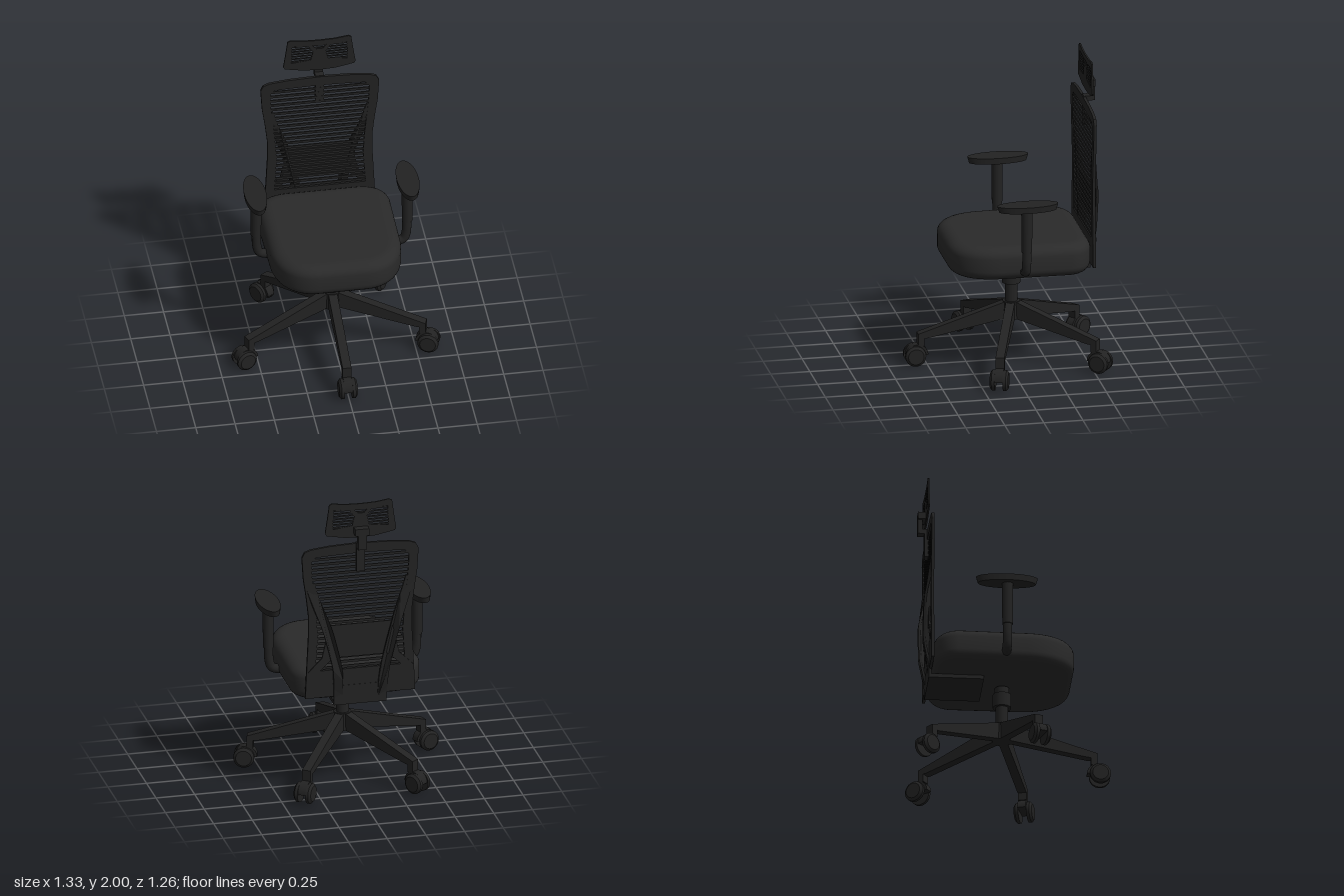
import * as THREE from 'three';
import { toCreasedNormals } from 'three/addons/utils/BufferGeometryUtils.js';

const dark = new THREE.MeshStandardMaterial({ color: 0x222222, side: THREE.DoubleSide });
const fabric = new THREE.MeshStandardMaterial({ color: 0x2a2a2a });

function add(parent, name, geo, x = 0, y = 0, z = 0, mat = dark) {
  const m = new THREE.Mesh(geo, mat);
  m.name = name;
  m.position.set(x, y, z);
  parent.add(m);
  return m;
}
const box = (w, h, d) => new THREE.BoxGeometry(w, h, d);
const cyl = (rt, rb, h, n = 24) => new THREE.CylinderGeometry(rt, rb, h, n);
const vecs = (pts) => pts.map(([x, y]) => new THREE.Vector2(x, y));
// Closes a half outline (x >= 0) with its mirror image
const mirrored = (pts) => [...pts, ...pts.filter(([x]) => x > 0).reverse().map(([x, y]) => [-x, y])];

function plate(outline, holes, depth) {
  const s = new THREE.Shape(vecs(outline));
  for (const h of holes) s.holes.push(new THREE.Path(vecs(h)));
  return new THREE.ExtrudeGeometry(s, { depth, bevelEnabled: false });
}
// Flat strip of given width following a smooth curve in the xy plane
function strip(pts, width, depth) {
  const curve = new THREE.SplineCurve(vecs(pts));
  const left = [], right = [];
  for (let i = 0; i <= 20; i++) {
    const p = curve.getPoint(i / 20), t = curve.getTangent(i / 20);
    left.push([p.x - t.y * width / 2, p.y + t.x * width / 2]);
    right.unshift([p.x + t.y * width / 2, p.y - t.x * width / 2]);
  }
  return plate([...left, ...right], [], depth);
}

function makeSeat(root) {
  // Rounded back corners, broader curve at the front; the bevel adds 0.08
  const s = new THREE.Shape();
  s.moveTo(-0.15, -0.32);
  s.lineTo(0.15, -0.32);
  s.bezierCurveTo(0.27, -0.32, 0.33, -0.22, 0.335, -0.1);
  s.lineTo(0.34, 0.34);
  s.quadraticCurveTo(0.33, 0.41, 0.23, 0.415);
  s.lineTo(-0.23, 0.415);
  s.quadraticCurveTo(-0.33, 0.41, -0.34, 0.34);
  s.lineTo(-0.335, -0.1);
  s.bezierCurveTo(-0.33, -0.22, -0.27, -0.32, -0.15, -0.32);
  const g = new THREE.ExtrudeGeometry(s, {
    depth: 0.085, bevelThickness: 0.065, bevelSize: 0.08, bevelSegments: 6, curveSegments: 10,
  });
  g.rotateX(-Math.PI / 2);
  add(root, 'seat', toCreasedNormals(g, 0.8), 0, 0.72, 0, fabric);
  add(root, 'seatMechanismPlate', box(0.34, 0.025, 0.335), 0, 0.643, -0.335);
}

function makeBack(root) {
  const back = new THREE.Group();
  back.name = 'backrest';
  root.add(back);
  const outer = mirrored([[0, 1.715], [0.2, 1.708], [0.32, 1.695], [0.36, 1.68], [0.377, 1.645], [0.368, 1.5],
    [0.35, 1.38], [0.335, 1.25], [0.335, 1.1], [0.345, 0.9], [0.355, 0.69], [0, 0.69]]);
  const inner = mirrored([[0, 1.65], [0.2, 1.645], [0.29, 1.64], [0.315, 1.61], [0.312, 1.52], [0.3, 1.4],
    [0.285, 1.25], [0.275, 1.1], [0.29, 0.87], [0, 0.87]]);
  add(back, 'backFrame', plate(outer, [inner], 0.018), 0, 0, -0.513);
  for (let y = 0.885; y < 1.64; y += 0.0335) add(back, 'backSlat', box(0.64, 0.016, 0.008), 0, y, -0.503);
  add(back, 'lumbarPanel', plate([[-0.25, 0.955], [0.25, 0.955], [0.2, 1.175], [-0.2, 1.175]], [], 0.01), 0, 0, -0.522);
  add(back, 'backMount', box(0.34, 0.13, 0.016), 0, 0.695, -0.507);

  // Struts bulge backwards between the mount and the side frame
  const bulge = (y) => 0.04 * THREE.MathUtils.smoothstep(y, 0.66, 0.92) * (1 - THREE.MathUtils.smoothstep(y, 1.12, 1.36));
  for (const s of [-1, 1]) {
    const g = strip([[0.14, 0.65], [0.15, 0.85], [0.175, 0.98], [0.225, 1.17], [0.285, 1.33], [0.325, 1.46]]
      .map(([x, y]) => [s * x, y]), 0.06, 0.015);
    const p = g.attributes.position;
    for (let i = 0; i < p.count; i++) p.setZ(i, p.getZ(i) - bulge(p.getY(i)));
    g.computeVertexNormals();
    add(back, 'backStrut', g, 0, 0, -0.512);
    add(back, 'lowerBrace', strip([[s * 0.18, 0.98], [s * 0.25, 0.92], [s * 0.32, 0.85]], 0.05, 0.012), 0, 0, -0.52);
  }
}

function makeHeadrest(root) {
  const head = new THREE.Group();
  head.name = 'headrest';
  root.add(head);
  const outline = mirrored([[0, 1.985], [0.1, 1.988], [0.185, 2], [0.203, 1.99], [0.215, 1.9],
    [0.23, 1.8], [0.22, 1.785], [0.1, 1.762], [0, 1.757]]);
  const side = [[0.175, 1.955], [0.075, 1.95], [0.04, 1.9], [0.055, 1.84], [0.18, 1.825]];
  const holes = [side, side.map(([x, y]) => [-x, y]), [[-0.045, 1.95], [0.045, 1.95], [0.022, 1.922], [-0.022, 1.922]]];
  add(head, 'headrestFrame', plate(outline, holes, 0.01), 0, 0, -0.523);
  for (let i = 0; i < 7; i++) add(head, 'headrestSlat', box(0.37, 0.009, 0.005), 0, 1.836 + i * 0.0185, -0.518);
  // Stepped bracket from headrest to frame
  add(head, 'bracketTop', box(0.09, 0.045, 0.055), 0, 1.808, -0.545);
  add(head, 'bracketPost', box(0.055, 0.14, 0.03), 0, 1.76, -0.557);
  add(head, 'bracketFoot', box(0.055, 0.03, 0.072), 0, 1.705, -0.536);
  add(head, 'bracketStem', box(0.055, 0.18, 0.03), 0, 1.62, -0.515);
}

function makeArm(root, s) {
  const arm = new THREE.Group();
  arm.name = s > 0 ? 'leftArm' : 'rightArm';
  root.add(arm);
  const pad = add(arm, 'armPad', cyl(1, 0.94, 0.04, 40), s * 0.485, 1.167, -0.05);
  pad.scale.set(0.07, 1, 0.195);
  add(arm, 'armCollar', cyl(0.036, 0.033, 0.28, 20), s * 0.481, 1.01, -0.045);
  const path = new THREE.CatmullRomCurve3([[0.481, 1.1], [0.479, 0.9], [0.475, 0.78], [0.46, 0.735], [0.42, 0.718], [0.36, 0.715]]
    .map(([x, y]) => new THREE.Vector3(s * x, y, -0.045)));
  add(arm, 'armPost', new THREE.TubeGeometry(path, 28, 0.029, 14));
}

function makeBase(root) {
  const base = new THREE.Group();
  base.name = 'base';
  base.position.z = -0.04;
  root.add(base);
  add(base, 'hub', cyl(0.055, 0.06, 0.115), 0, 0.333, 0);
  add(base, 'gasColumn', cyl(0.04, 0.04, 0.26), 0, 0.5, 0);
  add(base, 'columnCollar', cyl(0.058, 0.058, 0.09), 0, 0.555, 0);
  add(base, 'columnTop', cyl(0.045, 0.045, 0.05), 0, 0.62, 0);

  const legProfile = [[0, 0.28], [0.06, 0.275], [0.54, 0.18], [0.56, 0.18], [0.56, 0.13], [0.6, 0.13], [0.6, 0.21], [0.04, 0.39], [0, 0.39]];
  // Wheel disc with chamfered outer rim, axis turned to x
  const wheelGeo = toCreasedNormals(new THREE.LatheGeometry(vecs([[0, -0.015], [0.066, -0.015], [0.066, 0.004], [0.05, 0.017], [0, 0.017]]), 28), 0.5);
  wheelGeo.rotateZ(-Math.PI / 2);
  for (let i = 0; i < 5; i++) {
    const leg = new THREE.Group();
    leg.name = 'leg';
    leg.rotation.y = i * Math.PI * 2 / 5;
    base.add(leg);
    const g = plate(legProfile, [], 0.056);
    g.rotateY(-Math.PI / 2);
    g.translate(0.028, 0, 0);
    add(leg, 'legBeam', g);
    for (const s of [-1, 1]) {
      const w = add(leg, 'casterWheel', wheelGeo, s * 0.041, 0.068, 0.618);
      if (s < 0) w.rotation.y = Math.PI;
    }
    // Half-round hood between the wheels
    const hood = new THREE.Shape();
    hood.absarc(0, 0, 0.07, 0, Math.PI);
    const h = new THREE.ExtrudeGeometry(hood, { depth: 0.054, bevelEnabled: false });
    h.rotateY(-Math.PI / 2);
    add(leg, 'casterHood', toCreasedNormals(h, 0.5), 0.027, 0.07, 0.605);
  }
}

export function createModel() {
  const root = new THREE.Group();
  root.name = 'officeChair';
  const body = new THREE.Group();
  body.name = 'chairBody';
  body.position.x = -0.006;
  root.add(body);
  makeSeat(body);
  makeBack(body);
  makeHeadrest(body);
  for (const s of [-1, 1]) makeArm(body, s);
  makeBase(body);
  return root;
}
